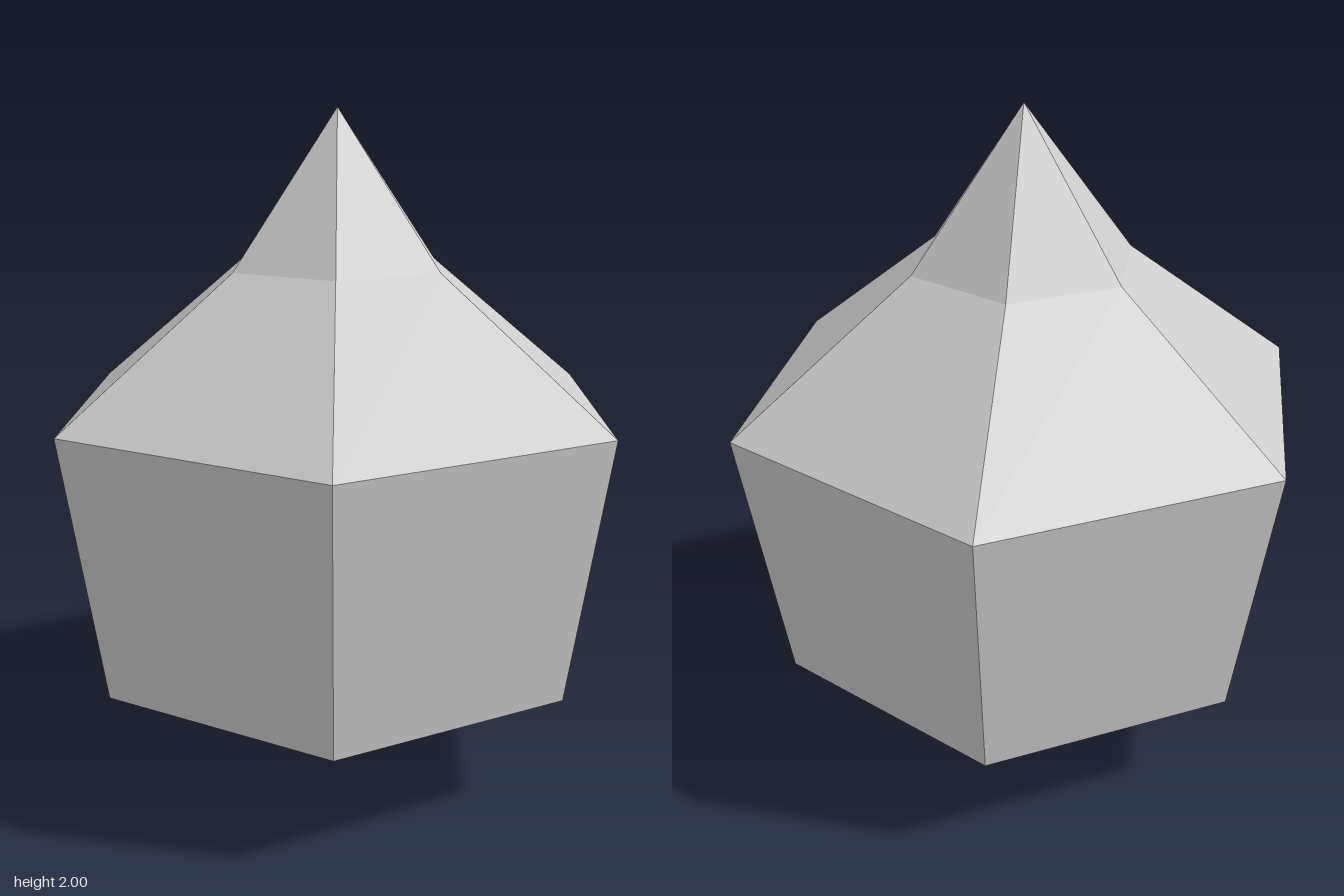
import * as THREE from 'three';

const SIDES = 6;

export function createModel() {
  const group = new THREE.Group();
  group.name = 'hexagonalCrystal';

  const stone = new THREE.MeshStandardMaterial({ color: 0xcccccc, flatShading: true });
  stone.name = 'pale grey';

  // One six-sided band, with corners on the x axis
  function band(name, r0, y0, r1, y1) {
    const geometry = new THREE.CylinderGeometry(r1, r0, y1 - y0, SIDES, 1, true, Math.PI / 2);
    const mesh = new THREE.Mesh(geometry, stone);
    mesh.name = name;
    mesh.position.y = (y0 + y1) / 2;
    group.add(mesh);
  }

  // Stacked from the bottom point to the tip
  band('pointedBase', 0, 0, 0.753, 0.349);
  band('body', 0.753, 0.349, 0.877, 1.137);
  band('shoulder', 0.877, 1.137, 0.337, 1.55);
  band('spire', 0.337, 1.55, 0, 2);

  return group;
}
